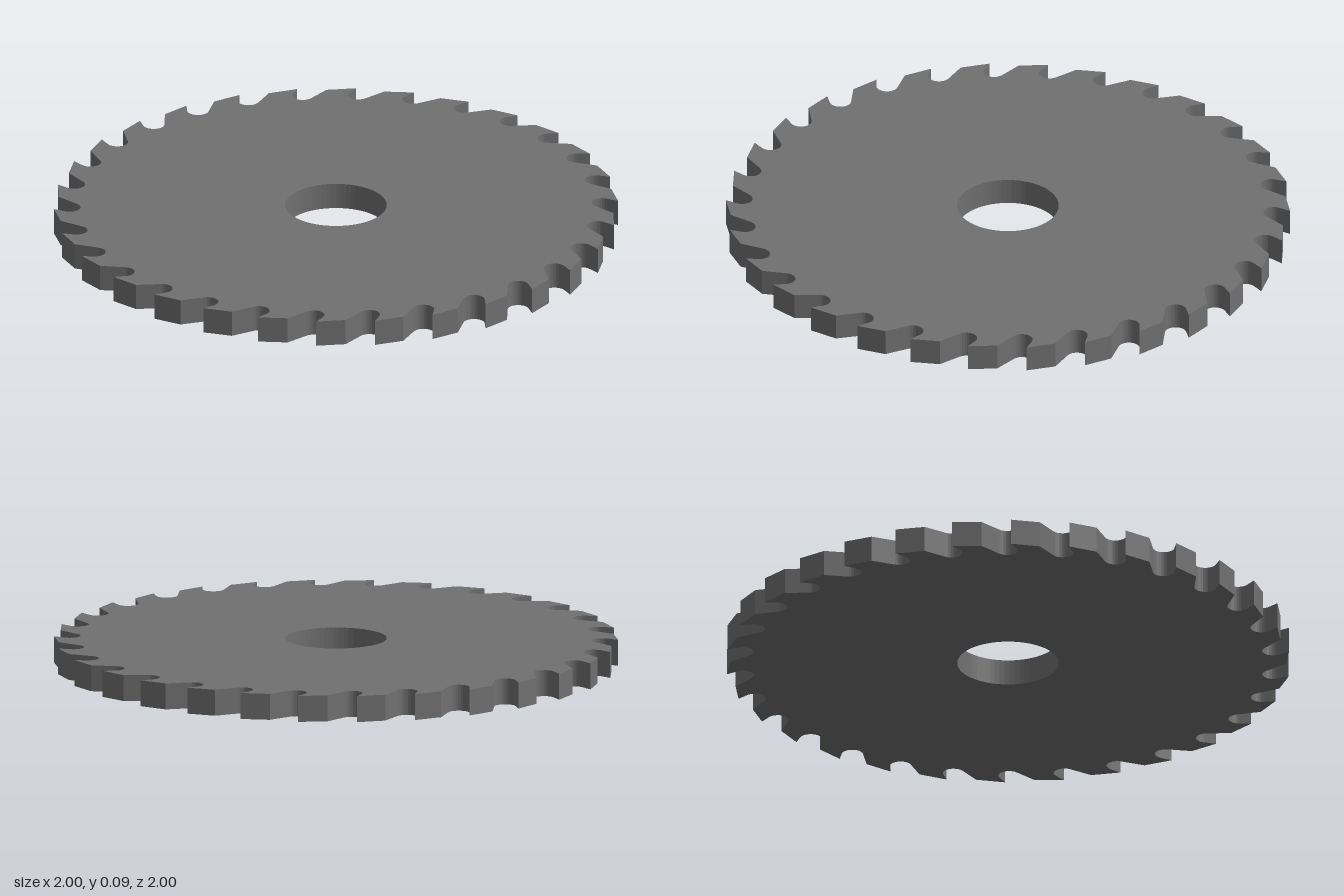
import * as THREE from 'three';

const TEETH = 30;
const THICKNESS = 0.094;
const BORE_RADIUS = 0.18;
const PHASE = THREE.MathUtils.degToRad(-2.6);

// One tooth pitch as [tangential, radial] points: tip, round gullet, heel of the next tooth
function toothProfile() {
  const points = [[0, 1.001]];
  const cx = 0.013, cy = 0.944, r = 0.038, steps = 12;
  for (let i = 0; i <= steps; i++) {
    const a = THREE.MathUtils.degToRad(151 + (315 - 151) * i / steps);
    points.push([cx + r * Math.cos(a), cy + r * Math.sin(a)]);
  }
  points.push([0.103, 0.98]);
  return points;
}

export function createModel() {
  const group = new THREE.Group();
  group.name = 'circularSawBlade';

  // Toothed outline, repeated clockwise around the disc
  const profile = toothProfile();
  const outline = [];
  for (let k = 0; k < TEETH; k++) {
    const a = PHASE + k * 2 * Math.PI / TEETH;
    const c = Math.cos(a), s = Math.sin(a);
    for (const [x, y] of profile) outline.push(new THREE.Vector2(x * c + y * s, y * c - x * s));
  }
  const shape = new THREE.Shape(outline);

  // Centre bore
  const bore = new THREE.Path();
  bore.absarc(0, 0, BORE_RADIUS, 0, Math.PI * 2, false);
  shape.holes.push(bore);

  // Flat dark steel plate lying on the ground
  const plate = new THREE.ExtrudeGeometry(shape, { depth: THICKNESS, bevelEnabled: false, curveSegments: 32 });
  plate.rotateX(-Math.PI / 2);
  const blade = new THREE.Mesh(plate, new THREE.MeshStandardMaterial({ color: 0x707070, flatShading: true }));
  blade.name = 'blade';
  group.add(blade);
  return group;
}
